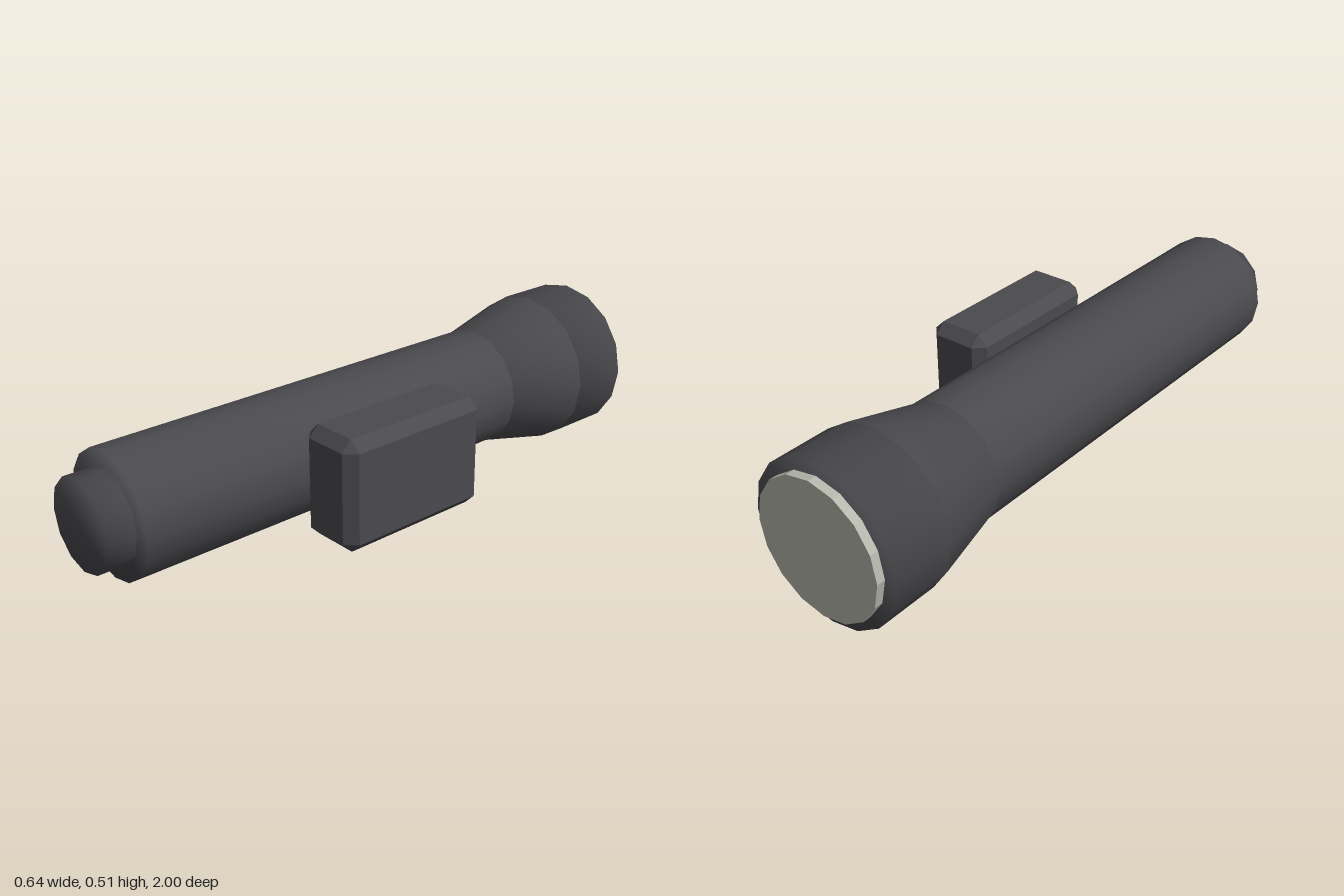
import * as THREE from 'three';
import { mergeVertices } from 'three/addons/utils/BufferGeometryUtils.js';
import { ConvexGeometry } from 'three/addons/geometries/ConvexGeometry.js';

const AXIS_X = -0.067, AXIS_Y = 0.256;

// Round section along z; smooth ones share normals between wall and caps
function section(name, material, rFront, rBack, zFront, zBack, sides, smooth = true) {
  let geo = new THREE.CylinderGeometry(rBack, rFront, zFront - zBack, sides);
  geo.rotateX(-Math.PI / 2);
  geo.deleteAttribute('uv');
  geo.deleteAttribute('normal');
  geo = mergeVertices(geo, 1e-5);
  if (!smooth) geo = geo.toNonIndexed();
  geo.computeVertexNormals();
  const mesh = new THREE.Mesh(geo, material);
  mesh.name = name;
  mesh.position.set(AXIS_X, AXIS_Y, (zFront + zBack) / 2);
  return mesh;
}

// Box with chamfered edges and triangular corners
function chamferedBox(w, h, d, c) {
  const points = [];
  for (const sx of [-1, 1]) for (const sy of [-1, 1]) for (const sz of [-1, 1]) {
    const x = w / 2, y = h / 2, z = d / 2;
    points.push(
      new THREE.Vector3(sx * x, sy * (y - c), sz * (z - c)),
      new THREE.Vector3(sx * (x - c), sy * y, sz * (z - c)),
      new THREE.Vector3(sx * (x - c), sy * (y - c), sz * z));
  }
  return new ConvexGeometry(points);
}

export function createModel() {
  const casing = new THREE.MeshStandardMaterial({ color: 0x4a494d });
  casing.name = 'dark grey casing';
  const glass = new THREE.MeshStandardMaterial({ color: 0xb6b7ac });
  glass.name = 'pale lens';

  const flashlight = new THREE.Group();
  flashlight.name = 'flashlight';

  flashlight.add(
    section('tailCap', casing, 0.141, 0.141, 1.0, 0.9, 12),
    section('barrel', casing, 0.194, 0.194, 0.91, -0.5, 16),
    section('headTaper', casing, 0.194, 0.255, -0.5, -0.767, 16),
    section('headRim', casing, 0.255, 0.255, -0.767, -0.973, 16),
    section('lens', glass, 0.218, 0.218, -0.965, -1.0, 16, false));

  // Side switch block
  const block = new THREE.Mesh(chamferedBox(0.21, 0.352, 0.53, 0.034), casing);
  block.name = 'switchBlock';
  block.position.set(0.216, 0.256, 0.117);
  flashlight.add(block);

  return flashlight;
}
